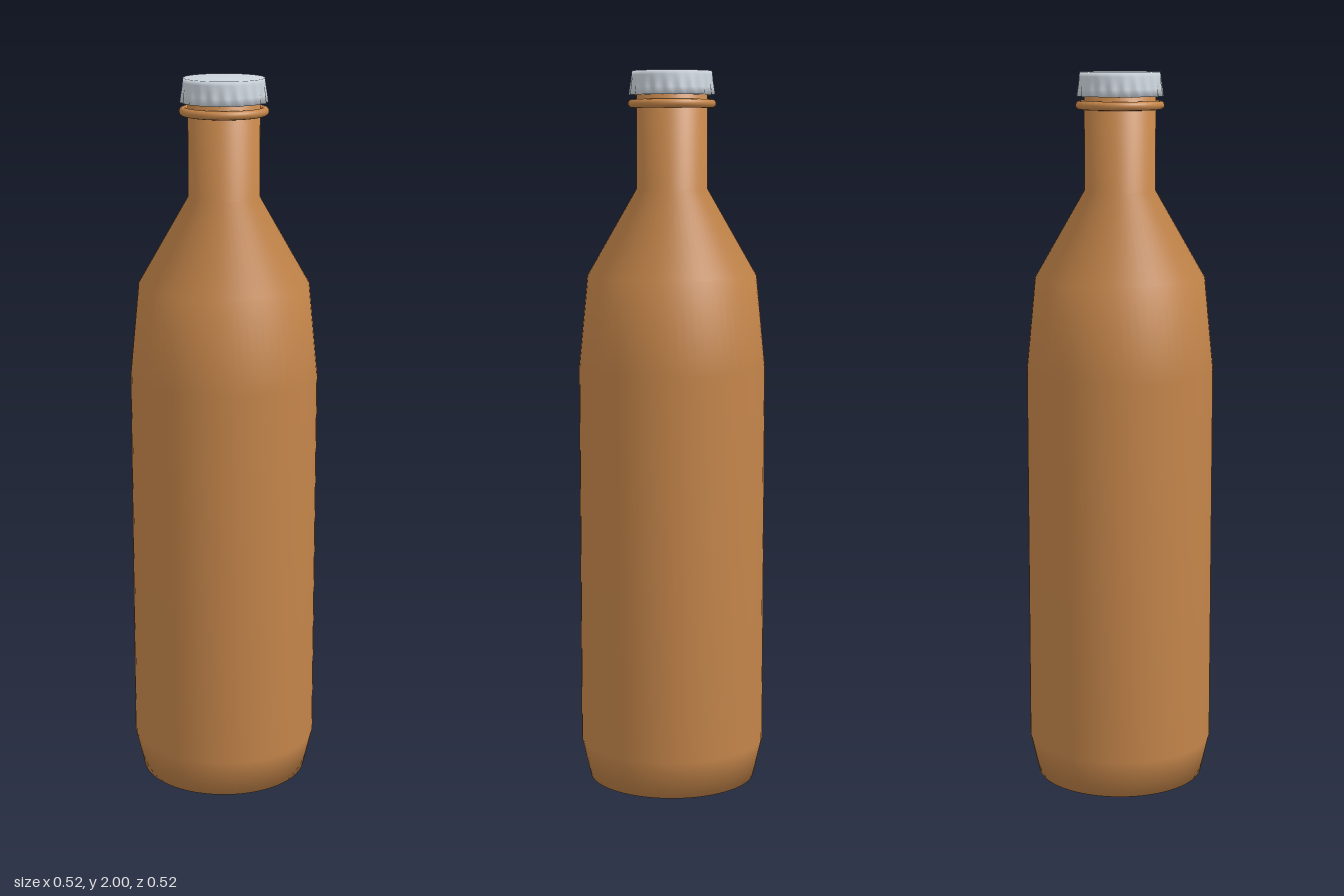
import * as THREE from 'three';
import { mergeVertices } from 'three/addons/utils/BufferGeometryUtils.js';

const SEGMENTS = 64;
const TEETH = 21;

function lathe(points, segments) {
  return new THREE.LatheGeometry(points.map(([r, y]) => new THREE.Vector2(r, y)), segments);
}

// Crown cap: a lathe whose skirt is pushed in and out into rounded teeth
function capGeometry() {
  const bottom = 1.935, fluteTop = 1.985;
  const geometry = lathe([
    [0.098, bottom], [0.116, bottom], [0.1145, 1.955], [0.113, 1.972],
    [0.112, 1.988], [0.11, 2], [0, 2],
  ], TEETH * 6);
  const pos = geometry.attributes.position;
  for (let i = 0; i < pos.count; i++) {
    const x = pos.getX(i), y = pos.getY(i), z = pos.getZ(i);
    const r = Math.hypot(x, z);
    if (r < 0.1 || y > fluteTop) continue;
    const depth = 0.004 * (fluteTop - y) / (fluteTop - bottom);
    const k = 1 + depth * Math.cos(TEETH * Math.atan2(x, z)) / r;
    pos.setXYZ(i, x * k, y, z * k);
  }
  // Weld the seam so the smooth normals run all the way round
  geometry.deleteAttribute('uv');
  geometry.deleteAttribute('normal');
  const welded = mergeVertices(geometry, 1e-5);
  welded.computeVertexNormals();
  return welded;
}

export function createModel() {
  const glass = new THREE.MeshStandardMaterial({ color: 0xc4854a });
  glass.name = 'amber glass';
  const metal = new THREE.MeshStandardMaterial({ color: 0xccd4dc });
  metal.name = 'pale metal';

  const model = new THREE.Group();
  model.name = 'bottle';
  const add = (name, geometry, material) => {
    const mesh = new THREE.Mesh(geometry, material);
    mesh.name = name;
    model.add(mesh);
    return mesh;
  };

  // Base, body, shoulder and neck in one smooth profile
  add('bottleBody', lathe([
    [0, 0], [0.236, 0], [0.261, 0.11], [0.261, 1.185],
    [0.236, 1.44], [0.098, 1.68], [0.098, 1.94], [0, 1.94],
  ], SEGMENTS), glass);

  // Raised lip below the cap
  const ring = add('neckRing', new THREE.TorusGeometry(0.11, 0.012, 12, SEGMENTS), glass);
  ring.rotation.x = Math.PI / 2;
  ring.position.y = 1.911;

  add('cap', capGeometry(), metal);
  return model;
}
